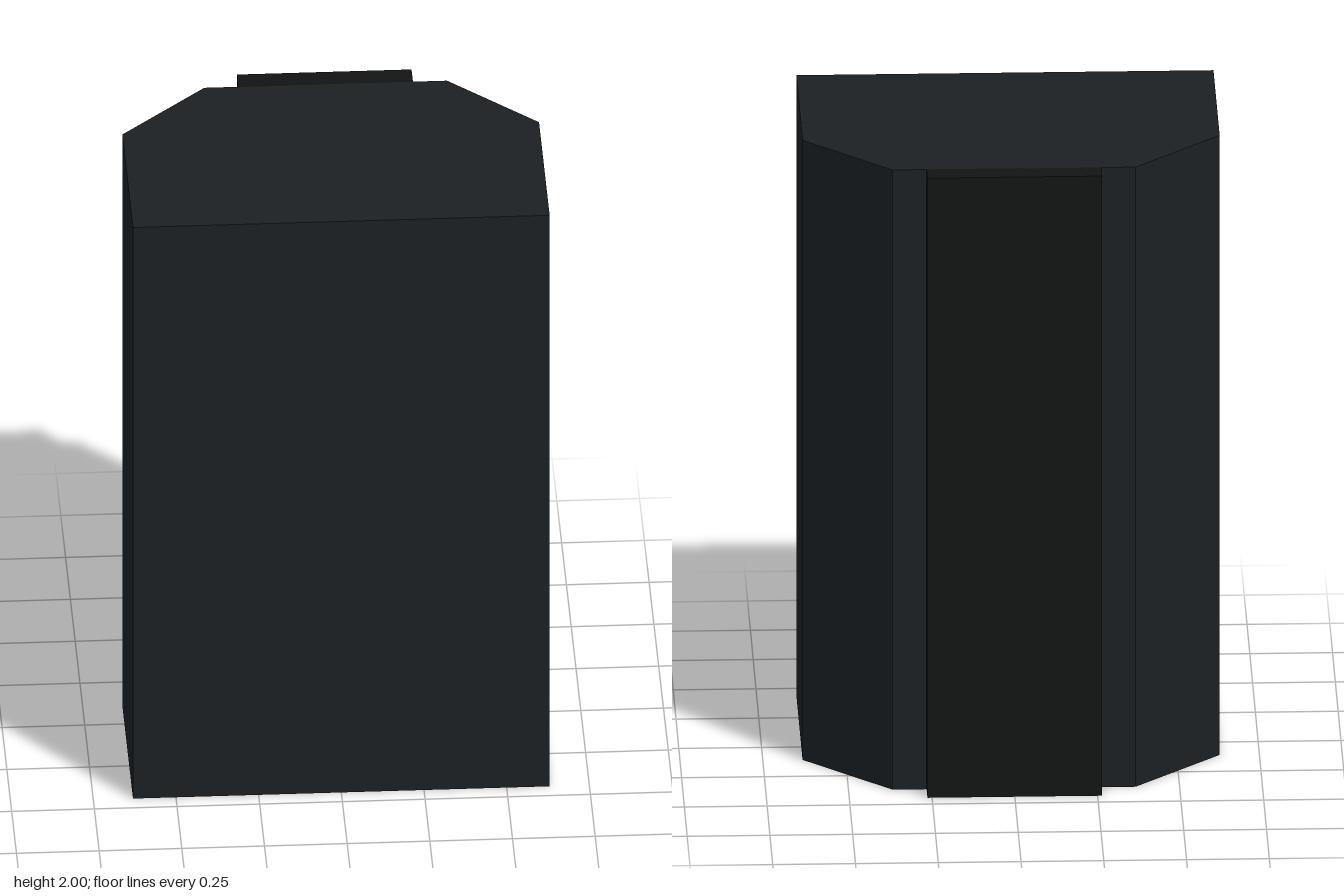
import * as THREE from 'three';

const HEIGHT = 2;

export function createModel() {
  const group = new THREE.Group();
  group.name = 'cabinet';

  // Main body: a plan outline with chamfered rear corners, extruded upwards
  const half = [[0.63, -0.445], [0.63, 0.11], [0.367, 0.373]];
  const mirrored = half.map(([x, y]) => [-x, y]).reverse();
  const outline = new THREE.Shape([...half, ...mirrored].map(([x, y]) => new THREE.Vector2(x, y)));
  const bodyGeometry = new THREE.ExtrudeGeometry(outline, { depth: HEIGHT, bevelEnabled: false });
  bodyGeometry.rotateX(-Math.PI / 2);
  const body = new THREE.Mesh(bodyGeometry, new THREE.MeshStandardMaterial({ color: 0x1b2023 }));
  body.name = 'body';
  group.add(body);

  // Raised panel running the full height of the back
  const panel = new THREE.Mesh(
    new THREE.BoxGeometry(0.528, HEIGHT, 0.075),
    new THREE.MeshStandardMaterial({ color: 0x121313 })
  );
  panel.name = 'backPanel';
  panel.position.set(0, HEIGHT / 2, -0.4085);
  group.add(panel);

  return group;
}
